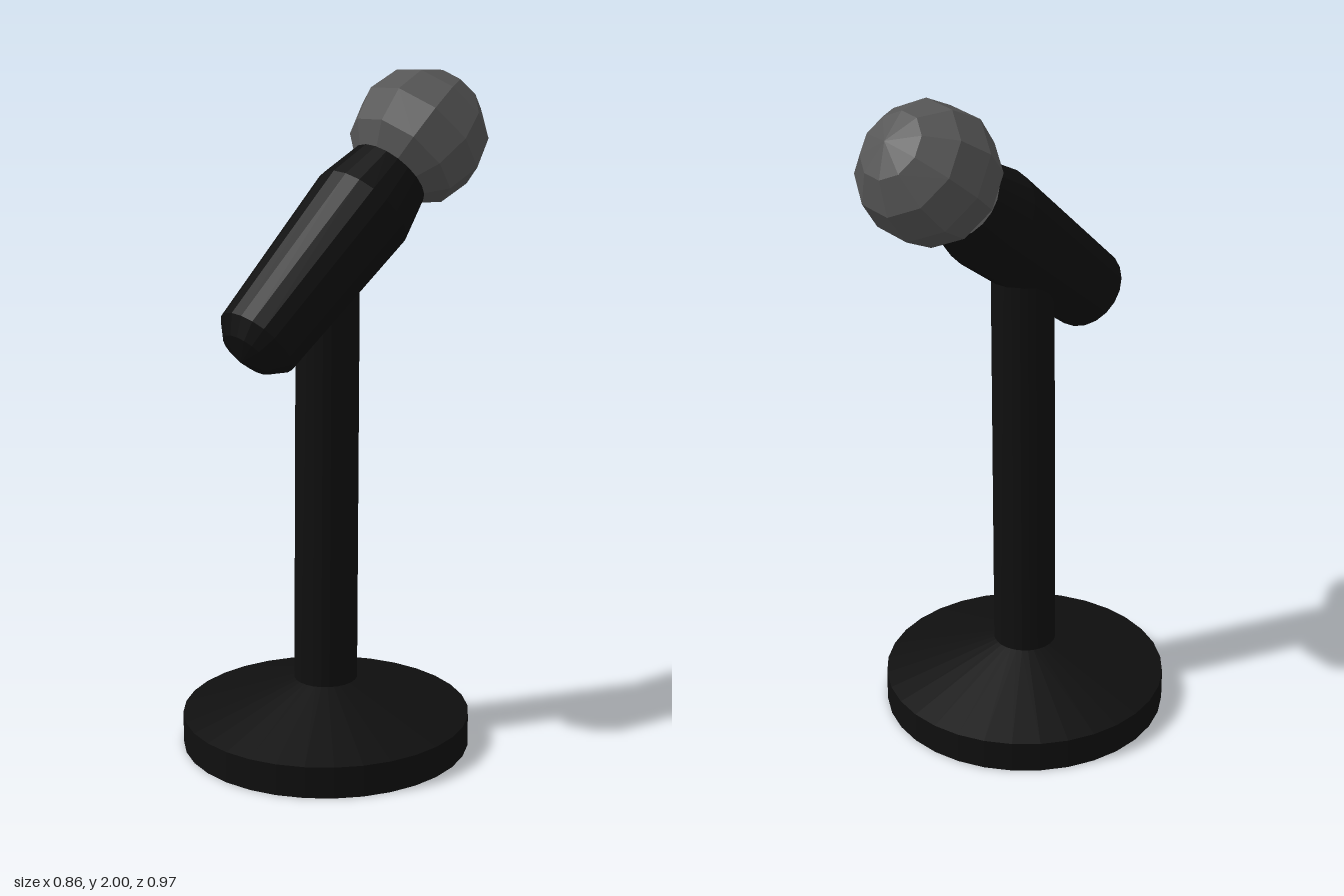
import * as THREE from 'three';

const UP = new THREE.Vector3(0, 1, 0);
const black = new THREE.MeshStandardMaterial({ color: 0x0f0f0f, flatShading: true, side: THREE.DoubleSide });
const grey = new THREE.MeshStandardMaterial({ color: 0x555555, flatShading: true });

function part(name, geometry, material) {
  const mesh = new THREE.Mesh(geometry, material);
  mesh.name = name;
  return mesh;
}

// Surface of revolution from [radius, height] pairs
function lathe(points, segments) {
  return new THREE.LatheGeometry(points.map(([r, y]) => new THREE.Vector2(r, y)), segments);
}

// Place an object at a point with its y axis along a direction
function align(object, origin, direction) {
  object.position.copy(origin);
  object.quaternion.setFromUnitVectors(UP, direction);
  return object;
}

export function createModel() {
  const model = new THREE.Group();
  model.name = 'deskMicrophone';

  // Hollow base: short rim and shallow cone, open underneath
  const base = part('base', lathe([[0.43, 0], [0.43, 0.095], [0.092, 0.205]], 32), black);
  base.position.z = 0.055;
  model.add(base);

  // Slightly leaning post, its top buried in the handle
  const foot = new THREE.Vector3(0.002, 0.2, 0.057);
  const top = new THREE.Vector3(0.03, 1.43, 0.068);
  const lean = top.clone().sub(foot);
  const postLength = lean.length();
  const postGeometry = new THREE.CylinderGeometry(0.092, 0.095, postLength, 24);
  postGeometry.translate(0, postLength / 2, 0);
  model.add(align(part('post', postGeometry, black), foot, lean.normalize()));

  // Tilted microphone built along its own y axis
  const tail = new THREE.Vector3(0.058, 1.28, 0.337);
  const headCentre = new THREE.Vector3(0.003, 1.8, -0.285);
  const axis = headCentre.clone().sub(tail);
  const reach = axis.length();
  const microphone = align(new THREE.Group(), tail, axis.normalize());
  microphone.name = 'microphone';

  // Handle with rounded tail, widening to a shoulder and narrowing to the neck
  microphone.add(part('handle', lathe([
    [0, -0.075], [0.082, -0.046], [0.124, 0], [0.153, 0.52], [0.124, 0.654], [0, 0.654],
  ], 20), black));

  // Faceted head
  const head = part('head', new THREE.SphereGeometry(0.202, 10, 6), grey);
  head.position.y = reach;
  microphone.add(head);

  model.add(microphone);
  return model;
}
